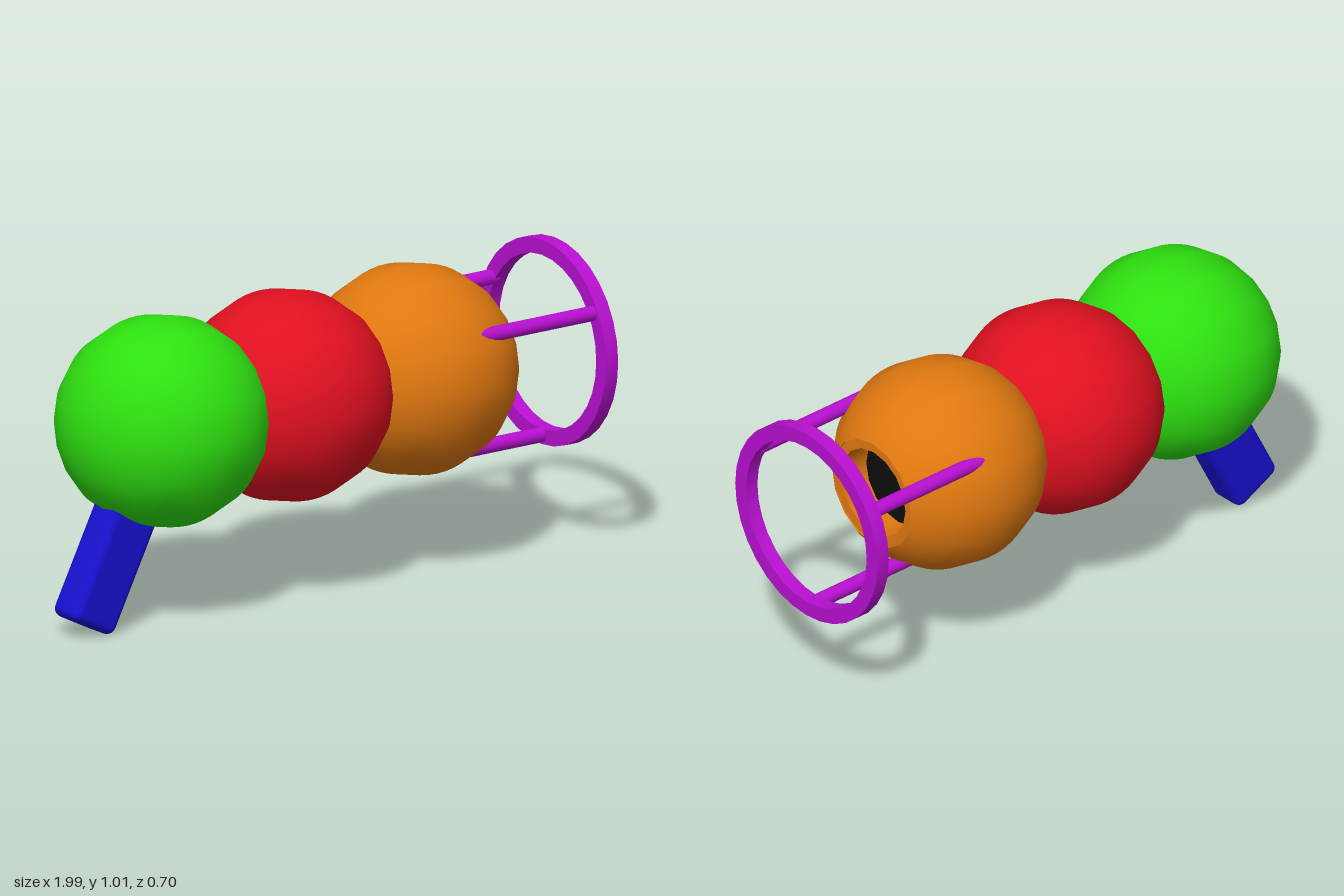
import * as THREE from 'three';
import { toCreasedNormals } from 'three/addons/utils/BufferGeometryUtils.js';
import { RoundedBoxGeometry } from 'three/addons/geometries/RoundedBoxGeometry.js';

const AXIS_Y = 0.667;
const BALL_R = 0.35;
const paint = (color) => new THREE.MeshStandardMaterial({ color });

export function createModel() {
  const model = new THREE.Group();
  const green = paint(0x2ee010), red = paint(0xe01020), orange = paint(0xe07810);
  const purple = paint(0xb810d0), blue = paint(0x1810d0), black = paint(0x0d0d0d);

  const add = (name, geometry, material, x, y, z = 0) => {
    const mesh = new THREE.Mesh(geometry, material);
    mesh.name = name;
    mesh.position.set(x, y, z);
    model.add(mesh);
    return mesh;
  };

  // Profile of [x, radius] pairs turned about the barrel axis
  const turned = (profile, segments) => {
    const points = profile.map(([x, r]) => new THREE.Vector2(r, x));
    const geometry = new THREE.LatheGeometry(points, segments).rotateZ(-Math.PI / 2);
    return toCreasedNormals(geometry, 0.6);
  };

  // Rear and middle body balls
  const ball = new THREE.SphereGeometry(BALL_R, 16, 32).rotateZ(-Math.PI / 2);
  add('rearBall', ball, green, -0.595, AXIS_Y);
  add('middleBall', ball, red, -0.09, AXIS_Y);

  // Front ball, cut open with a flat rim and a bore
  const rimR = 0.19, boreR = 0.155, rimX = 0.288, boreEnd = 0.18;
  const arcEnd = Math.PI - Math.asin(rimR / BALL_R);
  const frontProfile = [];
  for (let i = 0; i <= 26; i++) {
    const a = (arcEnd * i) / 26;
    frontProfile.push([-BALL_R * Math.cos(a), BALL_R * Math.sin(a)]);
  }
  frontProfile.push([rimX, rimR], [rimX, boreR], [boreEnd, boreR]);
  add('frontBall', turned(frontProfile, 16), orange, 0.42, AXIS_Y);

  // Dark floor of the bore
  const floor = new THREE.CircleGeometry(boreR, 16).rotateY(Math.PI / 2);
  add('boreFloor', floor, black, 0.42 + boreEnd, AXIS_Y);

  // Muzzle ring
  const ringProfile = [[-0.025, 0.293], [-0.025, 0.345], [0.025, 0.345], [0.025, 0.293], [-0.025, 0.293]];
  add('muzzleRing', turned(ringProfile, 32), purple, 0.975, AXIS_Y);

  // Three prongs holding the ring
  const prong = new THREE.CylinderGeometry(0.025, 0.025, 0.53, 16).rotateZ(-Math.PI / 2);
  for (let i = 0; i < 3; i++) {
    const a = -Math.PI / 2 + (i * Math.PI * 2) / 3;
    add('prong' + (i + 1), prong, purple, 0.705, AXIS_Y + 0.313 * Math.sin(a), 0.313 * Math.cos(a));
  }

  // Slanted grip, its top buried in the rear ball
  const tilt = 0.47, gripLength = 0.6;
  const grip = add('grip', new RoundedBoxGeometry(0.19, gripLength, 0.135, 4, 0.03), blue,
    -0.919 + Math.sin(tilt) * gripLength / 2, 0.035 + Math.cos(tilt) * gripLength / 2);
  grip.rotation.z = -tilt;

  return model;
}
